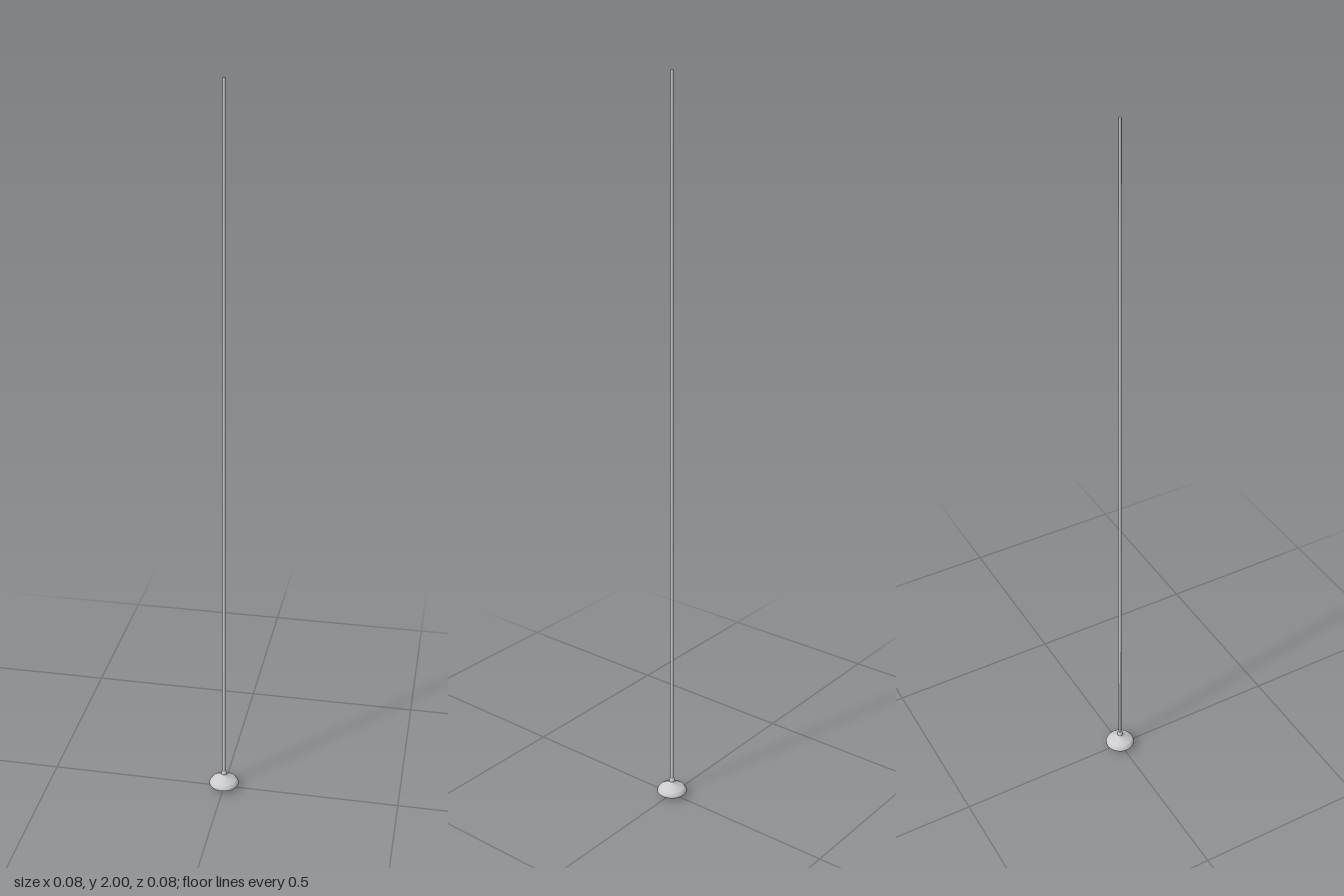
import * as THREE from 'three';

const SIDES = 20;

export function createModel() {
  const model = new THREE.Group();
  const material = new THREE.MeshStandardMaterial({ color: 0xcccccc });

  // Turned part from [radius, height] points, listed bottom to top
  const turned = (name, profile, sides = SIDES) => {
    const points = profile.map(([r, y]) => new THREE.Vector2(r, y));
    const mesh = new THREE.Mesh(new THREE.LatheGeometry(points, sides), material);
    mesh.name = name;
    model.add(mesh);
  };

  // Closed underside, rim and rounded side
  turned('underside', [[0, 0], [0.018, 0.001], [0.031, 0.004], [0.04, 0.01]]);
  turned('rim', [[0.04, 0.01], [0.042, 0.012], [0.042, 0.015], [0.04, 0.019], [0.036, 0.024]]);

  // Sloping cap that sweeps up into the neck
  turned('cap', [[0.036, 0.024], [0.026, 0.03], [0.016, 0.035], [0.01, 0.039], [0.008, 0.043]]);

  // Small collar gripping the rod
  turned('collar', [[0.008, 0.043], [0.008, 0.049], [0.006, 0.053], [0, 0.053]], 12);

  // Long thin rod
  const rodBottom = 0.04;
  const rodLength = 2 - rodBottom;
  const rod = new THREE.Mesh(new THREE.CylinderGeometry(0.004, 0.004, rodLength, 12), material);
  rod.name = 'rod';
  rod.position.y = rodBottom + rodLength / 2;
  model.add(rod);

  return model;
}
